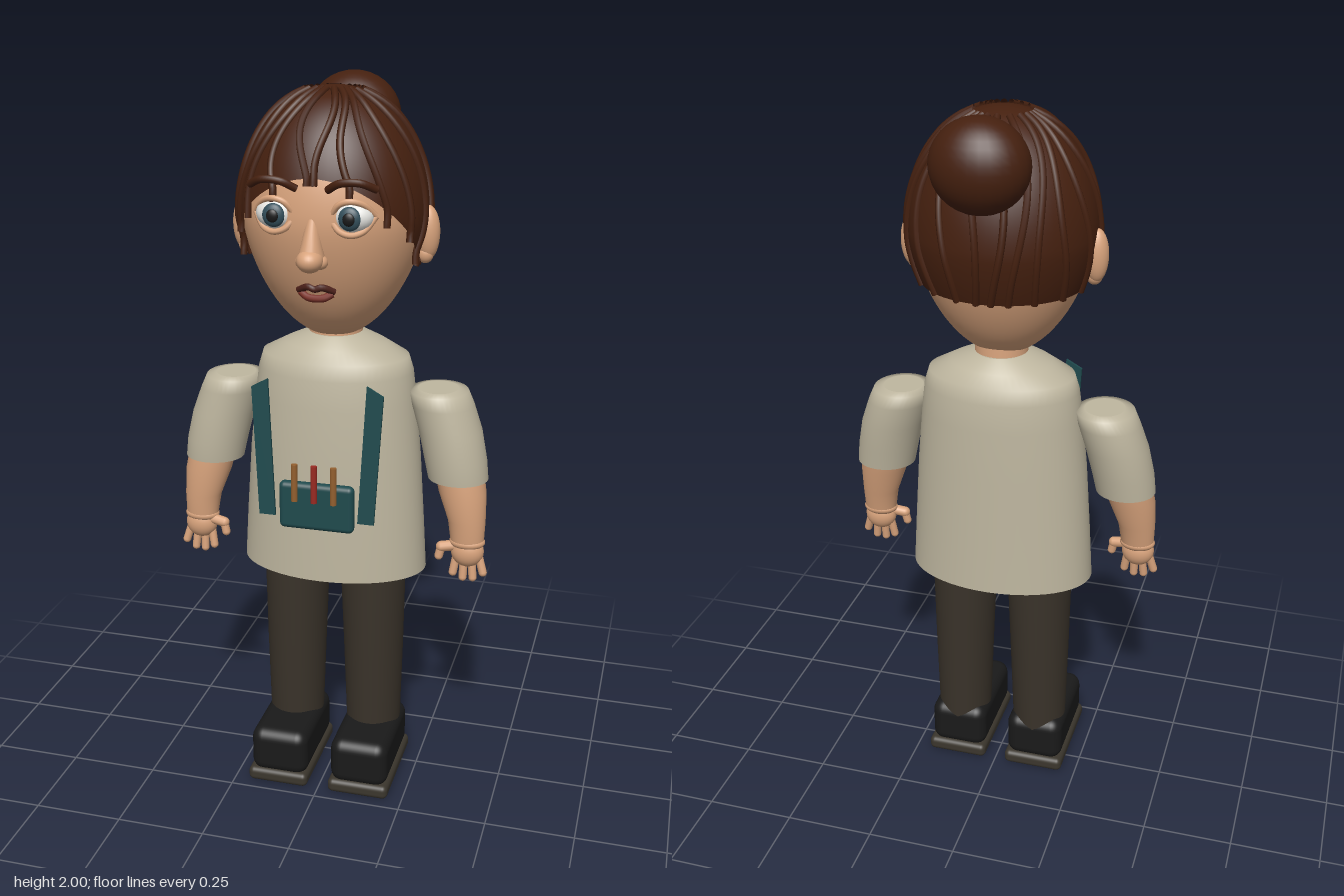
import * as THREE from 'three';
import { RoundedBoxGeometry } from 'three/addons/geometries/RoundedBoxGeometry.js';
import { ParametricGeometry } from 'three/addons/geometries/ParametricGeometry.js';

const V = (x, y, z) => new THREE.Vector3(x, y, z);
const mat = (color, side = THREE.FrontSide) => new THREE.MeshStandardMaterial({ color, side });
const skin = mat(0xd8a37c), shirt = mat(0xbfb7a0), trousers = mat(0x3a332a), hair = mat(0x45200f, THREE.DoubleSide);
const teal = mat(0x1f4a4d), black = mat(0x1a1a1a), soleMat = mat(0x3b362d), white = mat(0xe6e6e2);
const iris = mat(0x34505c), lip = mat(0x7a3026), darkLip = mat(0x4a1f18), red = mat(0x9a2a22), wood = mat(0x94602f);

function add(parent, name, geometry, material, x = 0, y = 0, z = 0) {
  const mesh = new THREE.Mesh(geometry, material);
  mesh.name = name;
  mesh.position.set(x, y, z);
  parent.add(mesh);
  return mesh;
}

function ball(parent, name, material, p, r) {
  const mesh = add(parent, name, new THREE.SphereGeometry(1, 28, 18), material, ...p);
  mesh.scale.set(...r);
  return mesh;
}

const tube = (points, r, n = 20) =>
  new THREE.TubeGeometry(new THREE.CatmullRomCurve3(points), n, r, 8);

// Rounded stick between two points
function stick(parent, name, material, a, b, r) {
  const d = b.clone().sub(a);
  const mesh = add(parent, name, new THREE.CapsuleGeometry(r, d.length(), 6, 12), material);
  mesh.position.copy(a).addScaledVector(d, 0.5);
  mesh.quaternion.setFromUnitVectors(V(0, 1, 0), d.normalize());
}

// Skin over horizontal ellipses [x, y, z, rx, rz], listed from bottom to top, with flat ends
function loft(rings, n = 40) {
  const pos = [], idx = [];
  const ring = ([x, y, z, rx, rz]) => {
    for (let j = 0; j < n; j++) {
      const a = (j / n) * Math.PI * 2;
      pos.push(x + rx * Math.sin(a), y, z + rz * Math.cos(a));
    }
  };
  rings.forEach(ring);
  for (let i = 0; i < rings.length - 1; i++)
    for (let j = 0; j < n; j++) {
      const k = (j + 1) % n, a = i * n + j, b = i * n + k;
      idx.push(a, b, b + n, a, b + n, a + n);
    }
  for (const top of [false, true]) {
    const r = rings[top ? rings.length - 1 : 0], s = pos.length / 3;
    ring(r);
    pos.push(r[0], r[1], r[2]);
    for (let j = 0; j < n; j++) {
      const k = (j + 1) % n;
      if (top) idx.push(s + n, s + j, s + k);
      else idx.push(s + n, s + k, s + j);
    }
  }
  const g = new THREE.BufferGeometry();
  g.setAttribute('position', new THREE.Float32BufferAttribute(pos, 3));
  g.setIndex(idx);
  g.computeVertexNormals();
  return g;
}

// Egg-shaped head: radius at a height
const MID = 1.66, HZ = 0.015, DEPTH = 0.92;
const headRadius = y => y > MID
  ? 0.245 * Math.sqrt(Math.max(0, 1 - ((y - MID) / 0.315) ** 2))
  : 0.245 * Math.sqrt(Math.max(0, 1 - ((MID - y) / 0.335) ** 1.5));

// Hair surface: angle round the head, t from crown (0) to hairline (1)
function hairPoint(angle, t, off, target = V()) {
  const edge = 1.525 + 1.22 * Math.max(0, 0.215 * Math.cos(angle) - 0.01);
  const yMax = 1.975;
  const y = MID + (yMax - MID) * Math.cos(t * Math.PI / 2);
  const s = Math.sin(t * Math.PI / 2);
  // even spacing over the dome, then on down to the hairline
  const yy = yMax - (yMax - edge) * (yMax - y) / (yMax - MID);
  const r = s < 0.001 ? 0 : headRadius(yy) + off * Math.min(1, s * 2);
  const lift = off * Math.max(0, (yy - MID) / (yMax - MID));
  return target.set(r * Math.sin(angle), yy + lift, HZ + DEPTH * r * Math.cos(angle));
}

function buildHead(root) {
  const head = new THREE.Group();
  head.name = 'head';
  root.add(head);
  const rings = [];
  for (let i = 0; i <= 36; i++) {
    const c = -Math.cos((0.02 + 0.96 * i / 36) * Math.PI);
    const y = MID + c * (c > 0 ? 0.315 : 0.335);
    rings.push([0, y, HZ, headRadius(y), headRadius(y) * DEPTH]);
  }
  add(head, 'face', loft(rings, 48), skin);
  add(head, 'neck', new THREE.CylinderGeometry(0.07, 0.075, 0.12, 32), skin, 0, 1.34, 0);

  // Hair cap, strands, crown and bun
  add(head, 'hairCap', new ParametricGeometry((u, v, p) =>
    hairPoint(u * Math.PI * 2, 1 - 0.97 * v, 0.008, p), 72, 28), hair);
  const N = 22;
  for (let i = 0; i < N; i++) {
    const a = ((i + 0.5) / N) * Math.PI * 2, pts = [];
    for (let k = 0; k <= 10; k++) {
      const t = 0.16 + 0.84 * k / 10;
      pts.push(hairPoint(a + 0.12 * Math.sin(t * 5 + i), t, 0.009));
    }
    const end = pts[pts.length - 1].clone();
    if (Math.cos(a) > 0.2) pts.push(end.add(V(0, -0.018 - 0.012 * (i % 3), 0.004)));
    add(head, 'hairStrand', tube(pts, 0.0095, 28), hair);
  }
  ball(head, 'hairCrown', hair, [0, 1.968, HZ], [0.06, 0.014, 0.055]);
  ball(head, 'hairBun', hair, [0, 1.88, -0.192], [0.128, 0.12, 0.102]);

  // Nose and mouth
  add(head, 'noseBridge', loft([[0, 1.575, 0.238, 0.036, 0.042], [0, 1.62, 0.235, 0.025, 0.03],
    [0, 1.68, 0.222, 0.014, 0.018]], 20), skin);
  ball(head, 'noseTip', skin, [0, 1.578, 0.252], [0.034, 0.03, 0.038]);
  for (const s of [-1, 1]) ball(head, 'nostril', skin, [s * 0.024, 1.572, 0.235], [0.018, 0.018, 0.022]);
  add(head, 'upperLip', tube([V(-0.048, 1.487, 0.19), V(-0.018, 1.5, 0.207), V(0, 1.495, 0.209),
    V(0.018, 1.5, 0.207), V(0.048, 1.487, 0.19)], 0.009), darkLip);
  add(head, 'lowerLip', tube([V(-0.042, 1.482, 0.19), V(-0.02, 1.471, 0.2), V(0.02, 1.471, 0.2),
    V(0.042, 1.482, 0.19)], 0.01), lip);

  // Eyes, brows and ears, mirrored
  for (const s of [1, -1]) {
    const side = new THREE.Group();
    side.name = s > 0 ? 'leftFaceFeatures' : 'rightFaceFeatures';
    side.scale.x = s;
    head.add(side);
    ball(side, 'eyeball', white, [0.1, 1.685, 0.205], [0.052, 0.04, 0.04]);
    ball(side, 'iris', iris, [0.098, 1.685, 0.236], [0.029, 0.03, 0.014]);
    ball(side, 'pupil', black, [0.098, 1.685, 0.246], [0.016, 0.017, 0.008]);
    const lid = up => tube([V(0.044, 1.683, 0.222), V(0.07, 1.685 + up * 0.033, 0.234),
      V(0.1, 1.685 + up * 0.042, 0.234), V(0.13, 1.685 + up * 0.033, 0.22), V(0.156, 1.687, 0.196)], 0.008);
    add(side, 'upperEyelid', lid(1), skin);
    add(side, 'lowerEyelid', lid(-1), skin);
    add(side, 'eyebrow', tube([V(0.04, 1.752, 0.23), V(0.075, 1.772, 0.248), V(0.125, 1.775, 0.246),
      V(0.163, 1.757, 0.22)], 0.01), hair);
    ball(side, 'ear', skin, [0.25, 1.615, 0.012], [0.032, 0.072, 0.03]);
    ball(side, 'earLobe', skin, [0.245, 1.56, 0.016], [0.022, 0.025, 0.02]);
  }
}

function buildArm(side) {
  add(side, 'sleeve', loft([[0.352, 0.945, 0.02, 0.083, 0.078], [0.343, 1.0, 0.018, 0.086, 0.084],
    [0.325, 1.08, 0.01, 0.087, 0.089], [0.302, 1.15, 0.005, 0.085, 0.09], [0.29, 1.188, 0.005, 0.08, 0.088],
    [0.288, 1.194, 0.005, 0.055, 0.06]]), shirt);
  add(side, 'forearm', loft([[0.388, 0.765, 0.047, 0.046, 0.036], [0.384, 0.83, 0.043, 0.052, 0.046],
    [0.368, 0.91, 0.033, 0.066, 0.058], [0.355, 0.97, 0.025, 0.068, 0.06]]), skin);
  ball(side, 'wrist', skin, [0.388, 0.768, 0.047], [0.05, 0.022, 0.038]);
  ball(side, 'palm', skin, [0.39, 0.74, 0.05], [0.046, 0.045, 0.034]);
  for (let i = 0; i < 4; i++) {
    const x = 0.36 + i * 0.021, tip = [0.674, 0.662, 0.664, 0.682][i];
    stick(side, 'finger', skin, V(x, 0.725, 0.05), V(x - 0.008 + i * 0.007, tip, 0.056), 0.0115);
  }
  stick(side, 'thumb', skin, V(0.36, 0.757, 0.055), V(0.318, 0.75, 0.06), 0.015);
  stick(side, 'thumbTip', skin, V(0.318, 0.75, 0.06), V(0.312, 0.722, 0.062), 0.012);
}

function buildLeg(side) {
  add(side, 'trouserLeg', loft([[0.118, 0.13, 0.007, 0.078, 0.086], [0.116, 0.4, 0.007, 0.086, 0.097],
    [0.112, 0.7, 0.007, 0.094, 0.108]]), trousers);
  add(side, 'shoe', new RoundedBoxGeometry(0.168, 0.14, 0.295, 5, 0.035), black, 0.119, 0.098, 0.068);
  add(side, 'sole', new RoundedBoxGeometry(0.178, 0.042, 0.31, 4, 0.016), soleMat, 0.12, 0.021, 0.067);
}

export function createModel() {
  const root = new THREE.Group();
  root.name = 'figure';
  buildHead(root);

  // Long loose shirt
  add(root, 'shirt', loft([[0, 0.655, 0.008, 0.264, 0.166], [0, 0.8, 0.008, 0.255, 0.165],
    [0, 1.0, 0.006, 0.241, 0.163], [0, 1.15, 0.002, 0.226, 0.159], [0, 1.23, 0, 0.216, 0.153],
    [0, 1.272, 0, 0.203, 0.142], [0, 1.305, 0, 0.14, 0.118], [0, 1.335, 0, 0.072, 0.078]], 56), shirt);

  for (const s of [1, -1]) {
    const side = new THREE.Group();
    side.name = s > 0 ? 'leftLimbs' : 'rightLimbs';
    side.scale.x = s;
    root.add(side);
    buildArm(side);
    buildLeg(side);

    // Flat strap, cut at a slant on top
    const shape = new THREE.Shape([[0.115, 0.858], [0.16, 0.858], [0.18, 1.217], [0.135, 1.242]]
      .map(p => new THREE.Vector2(p[0], p[1] - 0.858)));
    const strap = add(side, 'strap',
      new THREE.ExtrudeGeometry(shape, { depth: 0.008, bevelEnabled: false }), teal, 0, 0.858, 0.202);
    strap.rotation.x = -0.035;
  }

  // Chest pouch with pencils
  add(root, 'pouch', new RoundedBoxGeometry(0.208, 0.135, 0.032, 4, 0.015), teal, 0, 0.892, 0.2);
  [-0.054, 0, 0.054].forEach((x, i) =>
    add(root, 'pencil', new THREE.CylinderGeometry(0.009, 0.009, 0.105, 12), i === 1 ? red : wood, x, 0.967, 0.229));
  return root;
}
